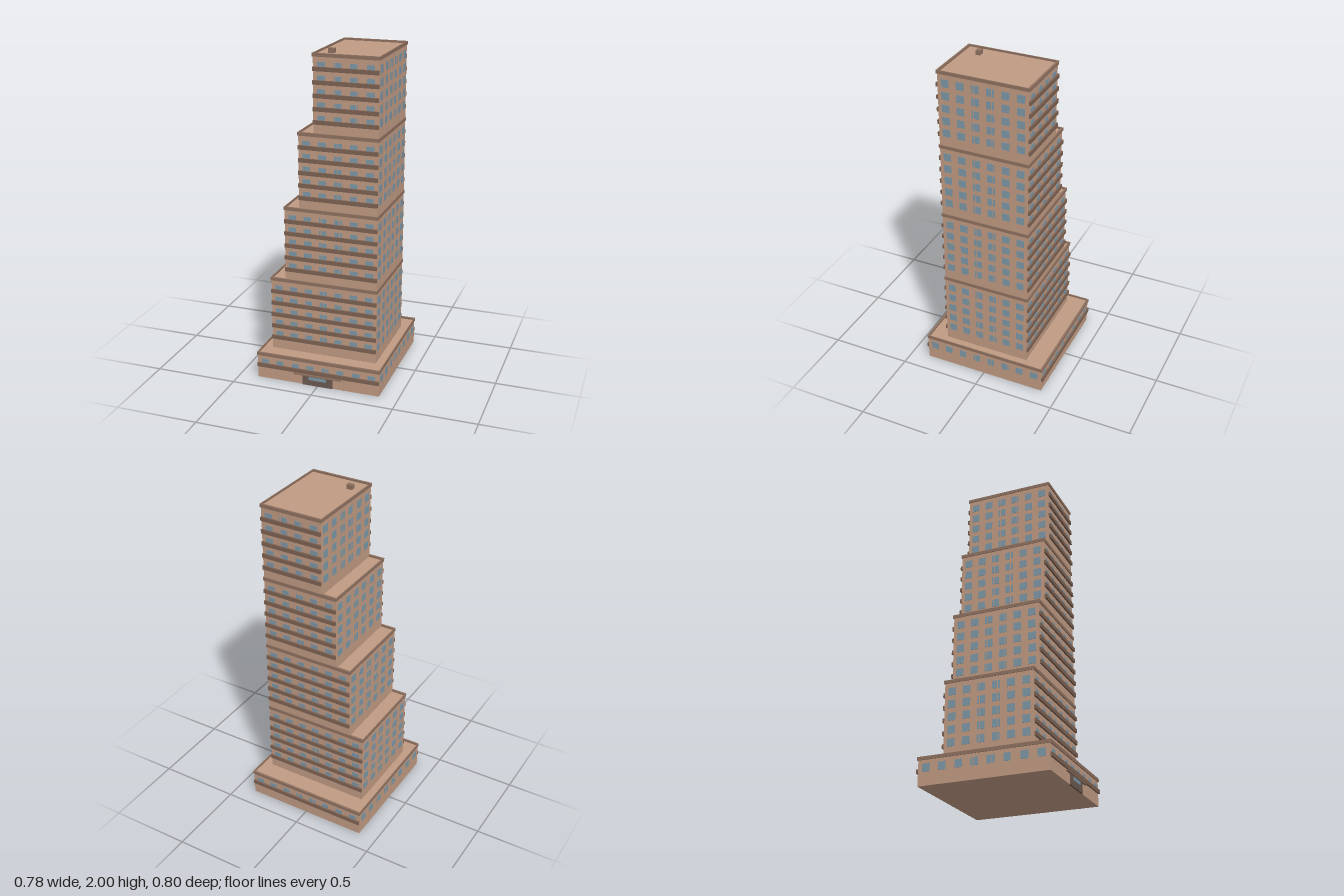
import * as THREE from 'three';
import { mergeGeometries } from 'three/addons/utils/BufferGeometryUtils.js';

const mat = (color) => new THREE.MeshStandardMaterial({ color });
const wallMat = mat(0xc09a82);
const trimMat = mat(0x8f7160);
const railMat = mat(0x7d6252);
const glassMat = mat(0x7c97a6);
const darkMat = mat(0x6b5a4f);

// Box given by its limits on each axis
function span(x0, x1, y0, y1, z0, z1) {
  return new THREE.BoxGeometry(x1 - x0, y1 - y0, z1 - z0)
    .translate((x0 + x1) / 2, (y0 + y1) / 2, (z0 + z1) / 2);
}

function addMesh(group, name, parts, material) {
  const mesh = new THREE.Mesh(parts.length > 1 ? mergeGeometries(parts) : parts[0], material);
  mesh.name = name;
  group.add(mesh);
}

// One storey block with windows, thin ribs, balcony bands and a raised rim
function block({ name, x0, x1, y0, y1, z0, z1, rows, colsX, colsZ, ribsX, ribsZ, bandDrop }) {
  const g = new THREE.Group();
  g.name = name;
  const roof = y1 - 0.012;
  const win = 0.023, out = 0.002, rib = 0.002;
  addMesh(g, 'walls', [span(x0, x1, y0, roof, z0, z1)], wallMat);

  const windows = [], bands = [], ribs = [];
  for (const y of rows) {
    for (let i = 0; i < colsX; i++) {
      const x = x0 + (x1 - x0) * (i + 0.5) / colsX;
      windows.push(span(x - win, x + win, y - win, y + win, z0 - out, z1 + out));
    }
    for (let i = 0; i < colsZ; i++) {
      const z = z0 + (z1 - z0) * (i + 0.5) / colsZ;
      windows.push(span(x0 - out, x1 + out, y - win, y + win, z - win, z + win));
    }
    // balcony bands on front and back only
    const b = y - bandDrop;
    bands.push(span(x0, x1, b - 0.012, b + 0.012, z1, z1 + 0.011));
    bands.push(span(x0, x1, b - 0.012, b + 0.012, z0 - 0.011, z0));
  }
  for (let i = 1; i < ribsX; i++) {
    const x = x0 + (x1 - x0) * i / ribsX;
    ribs.push(span(x - rib, x + rib, y0, roof, z0 - 0.003, z1 + 0.003));
  }
  for (let i = 1; i < ribsZ; i++) {
    const z = z0 + (z1 - z0) * i / ribsZ;
    ribs.push(span(x0 - 0.003, x1 + 0.003, y0, roof, z - rib, z + rib));
  }
  addMesh(g, 'windows', windows, glassMat);
  addMesh(g, 'balconyBands', bands, railMat);
  addMesh(g, 'wallRibs', ribs, wallMat);

  // rim around the roof, deeper on front and back
  const r = y1 - 0.02, o = 0.004;
  addMesh(g, 'roofRim', [
    span(x0 - o, x1 + o, r, y1, z1 - 0.006, z1 + 0.006),
    span(x0 - o, x1 + o, r, y1, z0 - 0.006, z0 + 0.006),
    span(x0 - o, x0 + 0.002, r, y1, z0 + 0.006, z1 - 0.006),
    span(x1 - 0.002, x1 + o, r, y1, z0 + 0.006, z1 - 0.006),
  ], trimMat);
  return g;
}

export function createModel() {
  const model = new THREE.Group();
  model.name = 'steppedTower';

  // Wide ground block
  model.add(block({
    name: 'podium', x0: -0.384, x1: 0.384, y0: 0, y1: 0.167, z0: -0.388, z1: 0.386,
    rows: [0.102], colsX: 8, colsZ: 8, ribsX: 7, ribsZ: 7, bandDrop: 0.016,
  }));

  // Four tiers stepping in from the right, flush on the left
  const tierHeight = 0.455, floor = 0.0755;
  for (let t = 0; t < 4; t++) {
    const y0 = 0.165 + t * tierHeight;
    const rows = [1, 2, 3, 4, 5].map((k) => y0 + 0.006 + k * floor);
    model.add(block({
      name: 'tier' + (t + 1), x0: -0.33 + t * 0.0917, x1: 0.329,
      y0: y0 - 0.015, y1: y0 + tierHeight, z0: -0.264, z1: 0.277,
      rows, colsX: 7 - t, colsZ: 6, ribsX: 6 - t, ribsZ: 5, bandDrop: 0.016,
    }));
  }

  // Entrance with glass and a shallow canopy
  const entrance = new THREE.Group();
  entrance.name = 'entrance';
  addMesh(entrance, 'doorSurround', [span(-0.095, 0.095, 0, 0.062, 0.38, 0.392)], darkMat);
  addMesh(entrance, 'doorGlass', [span(-0.055, 0.055, 0.036, 0.056, 0.385, 0.394)], glassMat);
  addMesh(entrance, 'canopy', [span(-0.15, 0.15, 0.062, 0.07, 0.38, 0.399)], trimMat);
  model.add(entrance);

  // Small roof vent
  addMesh(model, 'roofVent', [span(0.004, 0.04, 1.96, 2.0, 0.163, 0.191)], trimMat);
  return model;
}
